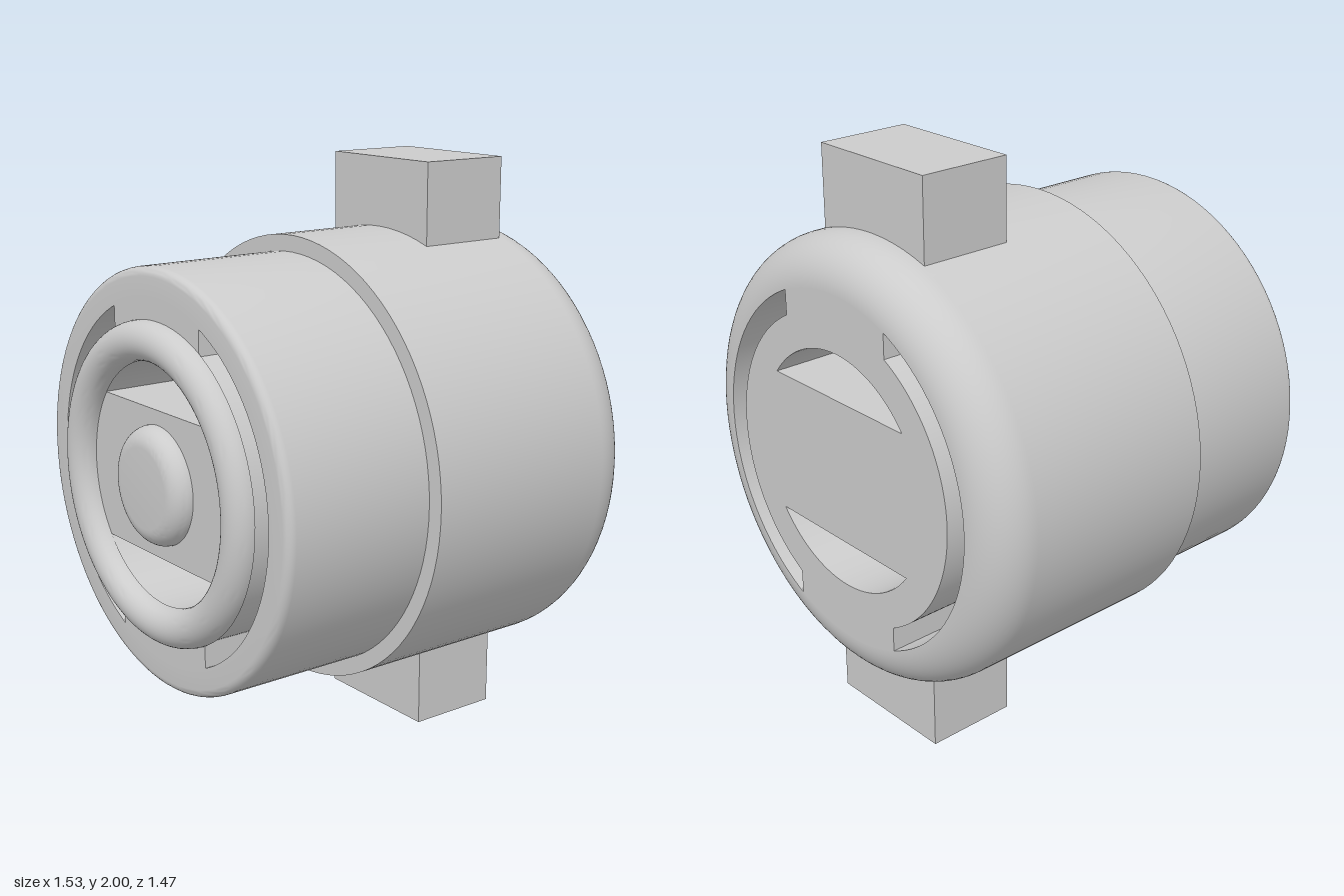
import * as THREE from 'three';
import { toCreasedNormals } from 'three/addons/utils/BufferGeometryUtils.js';

const material = new THREE.MeshStandardMaterial({ color: 0xcccccc });
const FRONT = 0.67, BACK = -0.735, STEP = 0.13;
const BORE = 0.607, DISC = 0.53, HOLE = 0.41, HALF = 0.25;

// Points of an arc in the (radius, depth) plane
function arc(cx, cy, r, from, to, n = 10) {
  return Array.from({ length: n + 1 }, (_, i) => {
    const a = from + (to - from) * i / n;
    return new THREE.Vector2(Math.max(0, cx + r * Math.cos(a)), cy + r * Math.sin(a));
  });
}

const p = (r, z) => new THREE.Vector2(r, z);

// Solid turned around the z axis
function turned(name, points) {
  const geometry = new THREE.LatheGeometry(points, 96).rotateX(Math.PI / 2);
  const mesh = new THREE.Mesh(toCreasedNormals(geometry, 0.6), material);
  mesh.name = name;
  return mesh;
}

// Inner plug: disc with top and bottom bridges and two segment openings
function core() {
  const a = Math.acos(HALF / BORE), b = Math.acos(HALF / DISC), c = Math.asin(HALF / HOLE);
  const PI = Math.PI;
  const shape = new THREE.Shape();
  shape.absarc(0, 0, BORE, a, PI - a);
  shape.absarc(0, 0, DISC, PI - b, PI + b);
  shape.absarc(0, 0, BORE, PI + a, 2 * PI - a);
  shape.absarc(0, 0, DISC, -b, b);
  for (const start of [c, PI + c]) {
    const hole = new THREE.Path();
    hole.absarc(0, 0, HOLE, start, start + PI - 2 * c);
    hole.closePath();
    shape.holes.push(hole);
  }
  const geometry = new THREE.ExtrudeGeometry(shape, {
    depth: FRONT - BACK, bevelEnabled: false, curveSegments: 40,
  }).translate(0, 0, BACK);
  const mesh = new THREE.Mesh(toCreasedNormals(geometry, 0.5), material);
  mesh.name = 'slottedCore';
  return mesh;
}

export function createModel() {
  const group = new THREE.Group();
  const body = new THREE.Group();
  body.name = 'body';
  body.position.y = 1;
  group.add(body);

  // Stepped housing with a rounded back edge and a through bore
  body.add(turned('housing', [
    p(BORE, BACK),
    ...arc(0.763 - 0.155, BACK + 0.155, 0.155, -Math.PI / 2, 0, 14),
    p(0.763, STEP), p(0.707, STEP),
    ...arc(0.707 - 0.03, FRONT - 0.03, 0.03, 0, Math.PI / 2, 6),
    p(BORE, FRONT), p(BORE, BACK),
  ]));
  body.add(core());

  // Raised half-round ring and centre button on the front
  body.add(turned('frontRing', [
    p(0.405, FRONT), ...arc(0.4725, FRONT, 0.0665, 0, Math.PI, 20),
  ]));
  body.add(turned('centreButton', [
    ...arc(0.2 - 0.065, FRONT, 0.065, 0, Math.PI / 2, 10), p(0, FRONT + 0.065),
  ]));

  // Strap lugs above and below
  for (const [name, side] of [['topLug', 1], ['bottomLug', -1]]) {
    const lug = new THREE.Mesh(new THREE.BoxGeometry(2 * HALF - 0.005, 0.34, 0.33), material);
    lug.name = name;
    lug.position.set(0, side * 0.83, -0.405);
    body.add(lug);
  }
  return group;
}
